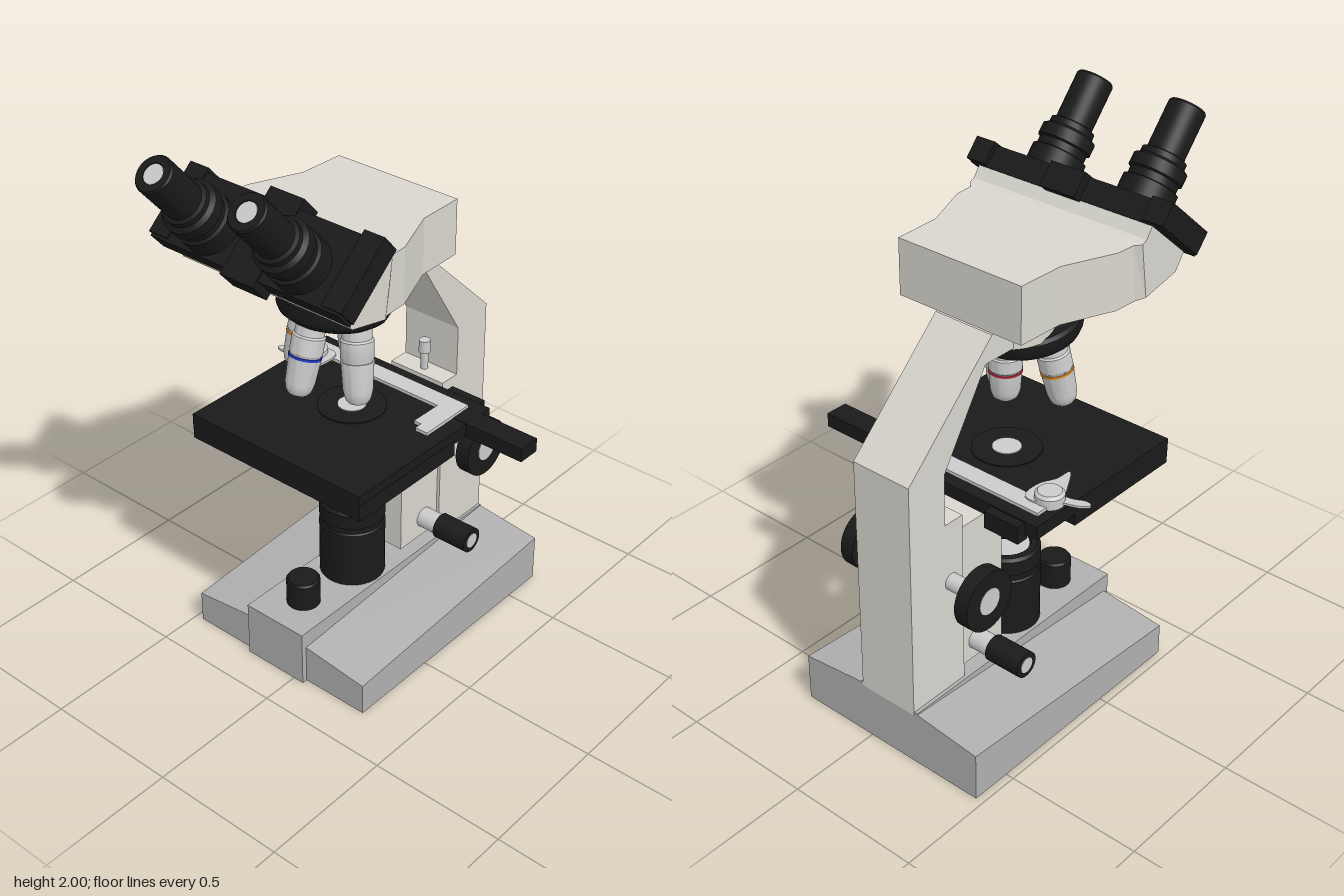
import * as THREE from 'three';
import { toCreasedNormals } from 'three/addons/utils/BufferGeometryUtils.js';

const mat = (color) => new THREE.MeshStandardMaterial({ color });
const BODY = mat(0xd8d6ce), BASE = mat(0xb0b0b0), BLACK = mat(0x1a1a1a), METAL = mat(0xcccccc);
const BLUE = mat(0x2038c0), ORANGE = mat(0xe09030), RED = mat(0xc03040);
const CX = -0.085, OZ = -0.053; // symmetry plane and optical axis

function add(parent, name, geo, material, x = 0, y = 0, z = 0) {
  const m = new THREE.Mesh(geo, material);
  m.name = name;
  m.position.set(x, y, z);
  parent.add(m);
  return m;
}

// Box given by its minimum and maximum on each axis
function box(parent, name, material, x0, x1, y0, y1, z0, z1) {
  return add(parent, name, new THREE.BoxGeometry(x1 - x0, y1 - y0, z1 - z0), material,
    (x0 + x1) / 2, (y0 + y1) / 2, (z0 + z1) / 2);
}

// Solid of revolution about y from [radius, height] pairs, with crisp steps
function turned(parent, name, material, pts, x = 0, y = 0, z = 0) {
  const geo = new THREE.LatheGeometry(pts.map(([r, h]) => new THREE.Vector2(r, h)), 40);
  return add(parent, name, toCreasedNormals(geo, 0.6), material, x, y, z);
}
const drum = (parent, name, material, r, y0, y1, x = CX, z = OZ) =>
  turned(parent, name, material, [[0, y0], [r, y0], [r, y1], [0, y1]], x, 0, z);

// Cylinder lying along x
function axle(parent, name, material, r, x0, x1, y, z) {
  const m = add(parent, name, new THREE.CylinderGeometry(r, r, x1 - x0, 36), material, (x0 + x1) / 2, y, z);
  m.rotation.z = Math.PI / 2;
  return m;
}

// Side profile of [z, y] points extruded from x0 to x1
function sideExtrude(parent, name, material, pts, x0, x1) {
  const shape = new THREE.Shape(pts.map(([z, y]) => new THREE.Vector2(z, y)));
  const geo = new THREE.ExtrudeGeometry(shape, { depth: x1 - x0, bevelEnabled: false });
  return add(parent, name, geo.rotateY(-Math.PI / 2).translate(x1, 0, 0), material);
}

// Flat plan shape of [x, z] points, lying between y and y + t
function flat(parent, name, material, pts, y, t, curved = false) {
  const v = pts.map(([x, z]) => new THREE.Vector2(x, -z));
  const shape = new THREE.Shape(curved ? new THREE.CatmullRomCurve3(
    v.map((p) => new THREE.Vector3(p.x, p.y, 0)), true).getPoints(40).slice(0, -1)
    .map((p) => new THREE.Vector2(p.x, p.y)) : v);
  const geo = new THREE.ExtrudeGeometry(shape, { depth: t, bevelEnabled: false });
  return add(parent, name, geo.rotateX(-Math.PI / 2), material, 0, y, 0);
}

// Faceted solid through rings, each counter-clockwise seen from +z, back to front
function loft(parent, name, material, rings) {
  const p = [], n = rings[0].length, tri = (a, b, c) => p.push(...a, ...b, ...c);
  for (let k = 0; k + 1 < rings.length; k++)
    for (let i = 0; i < n; i++) {
      const j = (i + 1) % n, A = rings[k], B = rings[k + 1];
      tri(A[i], A[j], B[j]);
      tri(A[i], B[j], B[i]);
    }
  const S = rings[0], E = rings[rings.length - 1];
  for (let i = 1; i + 1 < n; i++) {
    tri(S[0], S[i + 1], S[i]);
    tri(E[0], E[i], E[i + 1]);
  }
  const geo = new THREE.BufferGeometry();
  geo.setAttribute('position', new THREE.Float32BufferAttribute(p, 3));
  geo.computeVertexNormals();
  return add(parent, name, geo, material);
}

function addBase(g) {
  box(g, 'baseRidge', BASE, -0.215, 0.042, 0, 0.213, -0.65, 0.36);
  // Sloping wings, lower at the front and at the outside
  const wing = (xa, xb, ha, hb) => [[-0.65, 0.06], [0.34, 0]].map(([z, d]) =>
    [[xa, 0, z], [xb, 0, z], [xb, hb + d, z], [xa, ha + d, z]]);
  loft(g, 'baseWing', BASE, wing(-0.47, -0.2, 0.12, 0.15));
  loft(g, 'baseWing', BASE, wing(0.03, 0.3, 0.15, 0.12));
  // Lamp housing and dimmer
  turned(g, 'lampHousing', BLACK, [[0, 0.2], [0.118, 0.2], [0.118, 0.43], [0.112, 0.435], [0.112, 0.455],
    [0.118, 0.46], [0.118, 0.515], [0.108, 0.525], [0.085, 0.525], [0.08, 0.51], [0, 0.51]], CX, 0, OZ);
  drum(g, 'lampLens', METAL, 0.08, 0.5, 0.518);
  turned(g, 'dimmerKnob', BLACK, [[0, 0.2], [0.06, 0.2], [0.06, 0.31], [0.054, 0.318], [0, 0.318]], CX, 0, 0.21);
}

function addArm(g) {
  sideExtrude(g, 'arm', BODY, [[-0.405, 0.2], [-0.405, 0.87], [-0.485, 0.87], [-0.485, 1.06], [-0.29, 1.37],
    [-0.15, 1.37], [-0.15, 1.46], [-0.26, 1.46], [-0.645, 1.09], [-0.652, 0.2]], -0.202, 0.032);
  box(g, 'stageCarrier', BODY, -0.19, 0.02, 0.25, 0.81, -0.41, -0.2);
  box(g, 'stageBracket', METAL, -0.28, 0.105, 0.78, 0.812, -0.24, -0.09);
  turned(g, 'stopScrew', METAL, [[0, 0.86], [0.014, 0.86], [0.014, 0.935], [0.021, 0.937],
    [0.021, 0.985], [0, 0.985]], CX, 0, -0.447);
  // Focus wheels and lower knobs, mirrored about the symmetry plane
  axle(g, 'focusShaft', METAL, 0.03, CX - 0.23, CX + 0.23, 0.64, -0.46);
  axle(g, 'lowerShaft', METAL, 0.038, CX - 0.2, CX + 0.2, 0.325, -0.33);
  for (const s of [-1, 1]) {
    const rod = (name, material, r, a, b, y, z) =>
      axle(g, name, material, r, CX + Math.min(s * a, s * b), CX + Math.max(s * a, s * b), y, z);
    rod('focusCollar', METAL, 0.042, 0.205, 0.226, 0.64, -0.46);
    rod('focusWheel', BLACK, 0.108, 0.225, 0.279, 0.64, -0.46);
    rod('focusCap', METAL, 0.047, 0.27, 0.281, 0.64, -0.46);
    rod('lowerKnob', BLACK, 0.047, 0.185, 0.325, 0.325, -0.33);
    rod('lowerKnobCap', METAL, 0.028, 0.32, 0.327, 0.325, -0.33);
  }
}

function addStage(g) {
  box(g, 'stagePlate', BLACK, -0.457, 0.285, 0.857, 0.905, -0.342, 0.342);
  for (const s of [-1, 1]) {
    const c = CX + s * 0.345;
    box(g, 'stageSkirt', BLACK, c - 0.026, c + 0.026, 0.81, 0.87, -0.15, 0.342);
    const b = CX + s * 0.13;
    box(g, 'stageRunner', BLACK, b - 0.03, b + 0.03, 0.81, 0.87, -0.2, 0.32);
    const e = CX + s * 0.253;
    box(g, 'stageRearLug', BLACK, e - 0.07, e + 0.07, 0.835, 0.9, -0.376, -0.33);
  }
  box(g, 'stageFrontSkirt', BLACK, -0.41, 0.24, 0.81, 0.87, 0.3, 0.342);
  box(g, 'stageSlideArm', BLACK, 0.22, 0.517, 0.855, 0.907, -0.295, -0.21);
  drum(g, 'stageInsert', BLACK, 0.12, 0.9, 0.909);
  drum(g, 'stageGlass', METAL, 0.05, 0.9, 0.912);
  // Slide holder frame with its sprung finger
  flat(g, 'slideHolder', METAL, [[-0.42, -0.295], [0.23, -0.295], [0.23, -0.07], [0.18, -0.07], [0.18, -0.1],
    [0.15, -0.1], [0.15, -0.225], [-0.33, -0.225], [-0.42, -0.19]], 0.905, 0.012);
  flat(g, 'slideFinger', METAL, [[-0.43, -0.19], [-0.4, -0.25], [-0.33, -0.25], [-0.32, -0.17],
    [-0.345, -0.11], [-0.352, -0.05], [-0.4, -0.12]], 0.915, 0.008, true);
  flat(g, 'fingerLever', METAL, [[-0.38, -0.23], [-0.36, -0.18], [-0.45, -0.165], [-0.5, -0.145],
    [-0.522, -0.155], [-0.5, -0.18], [-0.45, -0.2]], 0.912, 0.008, true);
  turned(g, 'fingerPivot', METAL, [[0, 0.905], [0.05, 0.905], [0.05, 0.94], [0.04, 0.95], [0, 0.95]], -0.397, 0, -0.207);
  // Condenser below the stage
  drum(g, 'condenserBody', BLACK, 0.117, 0.7, 0.86);
  drum(g, 'condenserRing', METAL, 0.152, 0.702, 0.716);
  turned(g, 'condenserIris', BLACK, [[0, 0.63], [0.14, 0.63], [0.147, 0.637], [0.147, 0.685],
    [0.152, 0.688], [0.152, 0.703], [0, 0.703]], CX, 0, OZ);
  drum(g, 'condenserLens', METAL, 0.08, 0.598, 0.64);
}

function addNosepiece(g) {
  drum(g, 'headMount', BODY, 0.172, 1.46, 1.49);
  drum(g, 'headNeck', BODY, 0.158, 1.365, 1.47);
  const T = 0.15; // lean of the turret, also the splay of each objective
  const turret = new THREE.Group();
  turret.name = 'objectiveTurret';
  turret.position.set(CX, 1.345, 0.035);
  turret.rotation.x = -T;
  g.add(turret);
  turned(turret, 'turretDisc', BLACK, [[0, -0.045], [0.15, -0.045], [0.18, -0.025], [0.19, -0.005],
    [0.19, 0.03], [0.18, 0.042], [0, 0.042]]);
  // Quarter turns from the front; one objective stands upright over the stage
  [[0.29, BLUE], [0.31, METAL], [0.225, RED], [0.27, ORANGE]].forEach(([len, band], i) => {
    const spin = new THREE.Group();
    spin.name = 'objective';
    spin.rotation.y = i * Math.PI / 2;
    turret.add(spin);
    const h = (f) => -len * f;
    const barrel = turned(spin, 'objectiveBarrel', METAL, [[0, h(1)], [0.032, h(1)], [0.042, h(0.96)],
      [0.047, h(0.9)], [0.05, h(0.85)], [0.055, h(0.55)], [0.052, h(0.54)], [0.052, h(0.52)], [0.056, h(0.5)],
      [0.056, h(0.3)], [0.05, h(0.28)], [0.05, 0], [0, 0]], 0, 0, 0.097);
    barrel.rotation.x = -T;
    turned(barrel, 'objectiveBand', band, [[0.05, h(0.56)], [0.0565, h(0.56)], [0.0565, h(0.53)], [0.05, h(0.53)]]);
  });
}

function addHead(g) {
  // Stations: bottom z, bottom y, top z, top y, half width
  const stations = [[-0.28, 1.48, -0.28, 1.68, 0.25], [-0.105, 1.48, -0.105, 1.68, 0.255],
    [0.08, 1.48, 0.08, 1.68, 0.33], [0.17, 1.48, 0.15, 1.68, 0.335], [0.2, 1.487, 0.17, 1.682, 0.355],
    [0.355, 1.52, 0.19, 1.692, 0.355], [0.394, 1.575, 0.217, 1.729, 0.355]];
  loft(g, 'head', BODY, stations.map(([bz, by, tz, ty, w]) =>
    [[CX - w, by, bz], [CX + w, by, bz], [CX + w, ty, tz], [CX - w, ty, tz]]));

  // Tilted eyepiece carrier: local y runs along the eyepieces
  const front = new THREE.Group();
  front.name = 'eyepieceCarrier';
  front.position.set(CX, 1.71, 0.36);
  front.rotation.x = 0.715;
  g.add(front);
  box(front, 'carrierPlate', BLACK, -0.39, 0.39, -0.08, 0, -0.125, 0.13);
  box(front, 'carrierLatch', BLACK, -0.07, 0.07, -0.085, 0.004, -0.16, 0.155);
  for (const s of [-1, 1]) {
    box(front, 'carrierEnd', BLACK, s * 0.36 - 0.04, s * 0.36 + 0.04, -0.075, 0.006, -0.14, 0.12);
    turned(front, 'eyepiece', BLACK, [[0, -0.02], [0.096, -0.02], [0.096, 0.07], [0.085, 0.075], [0.085, 0.1],
      [0.094, 0.105], [0.094, 0.145], [0.078, 0.155], [0.078, 0.175], [0.065, 0.18], [0.065, 0.345],
      [0.06, 0.352], [0.036, 0.352], [0.034, 0.345], [0, 0.345]], s * 0.188, 0, 0.03);
    drum(front, 'eyeLens', METAL, 0.034, 0.34, 0.35, s * 0.188, 0.03);
  }
}

export function createModel() {
  const g = new THREE.Group();
  g.name = 'microscope';
  for (const build of [addBase, addArm, addStage, addNosepiece, addHead]) build(g);
  return g;
}
